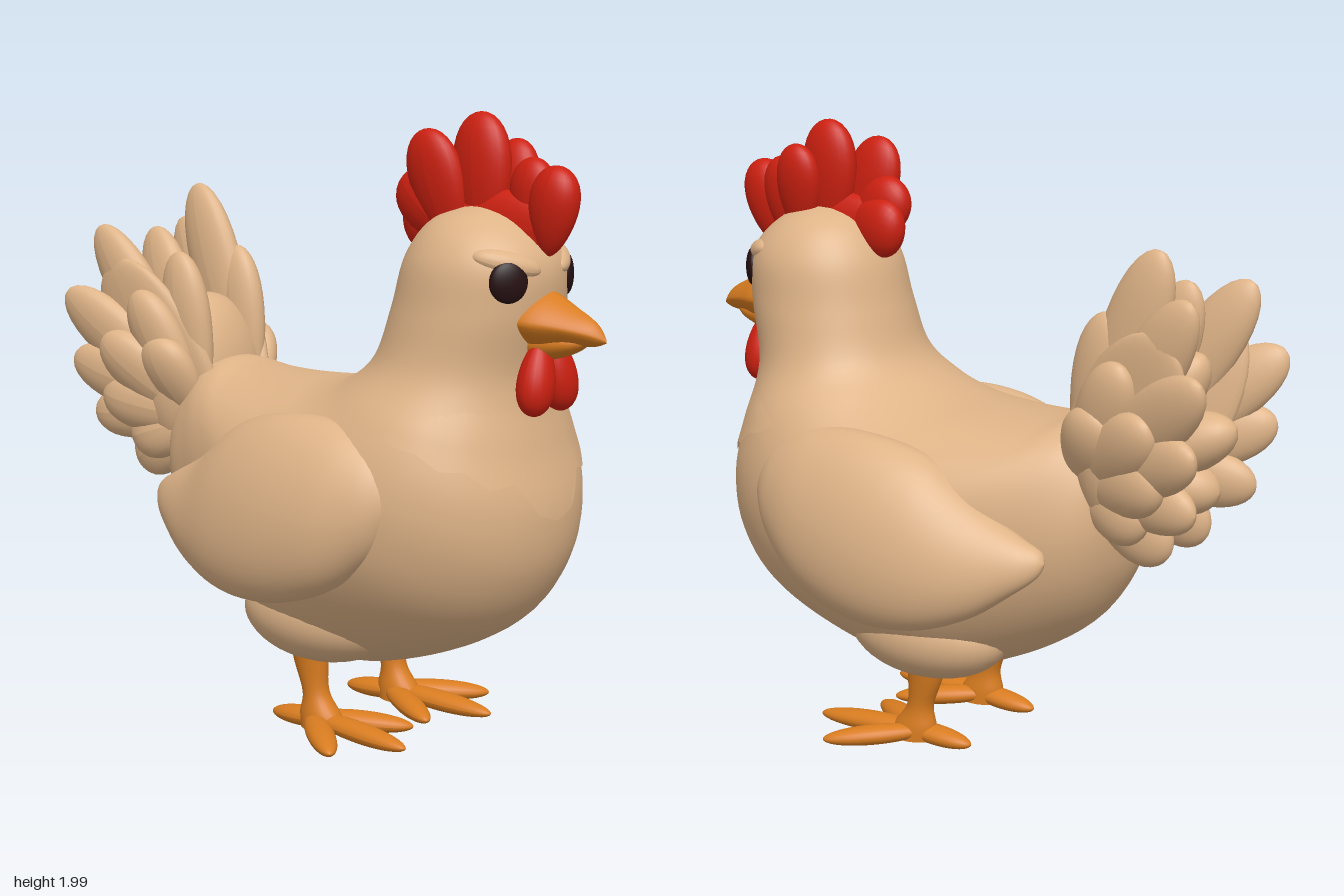
import * as THREE from 'three';

const mat = (name, color) => Object.assign(new THREE.MeshStandardMaterial({ color }), { name });

// Smooth surface from a grid of points; wound so that it faces away from its middle
function grid(rows, cols, closed, fn) {
  const pos = [], idx = [], mid = new THREE.Vector3();
  const n = closed ? cols : cols + 1;
  for (let i = 0; i <= rows; i++) for (let j = 0; j < n; j++) {
    const p = fn(i / rows, j / cols);
    pos.push(p.x, p.y, p.z);
    mid.add(p);
  }
  mid.divideScalar((rows + 1) * n);
  for (let i = 0; i < rows; i++) for (let j = 0; j < cols; j++) {
    const a = i * n + j, b = i * n + (j + 1) % n;
    idx.push(a, b, a + n, b, b + n, a + n);
  }
  const at = k => new THREE.Vector3().fromArray(pos, k * 3).sub(mid);
  let volume = 0;
  for (let k = 0; k < idx.length; k += 3) volume += at(idx[k]).dot(at(idx[k + 1]).cross(at(idx[k + 2])));
  if (volume < 0) idx.reverse();
  const g = new THREE.BufferGeometry();
  g.setAttribute('position', new THREE.Float32BufferAttribute(pos, 3));
  g.setIndex(idx);
  g.computeVertexNormals();
  return g;
}

// Sections [cx, cy, cz, halfWidthX, vx, vy, vz], splined along the list; power 1 is an ellipse, 2 a diamond
function sectionPoint(secs, s, a, scale = 1, power = 1) {
  const last = secs.length - 1, i = Math.min(Math.floor(s), last - 1), t = s - i;
  const get = k => secs[Math.max(0, Math.min(last, k))];
  const [p0, p1, p2, p3] = [get(i - 1), get(i), get(i + 1), get(i + 2)];
  const q = p1.map((_, k) => 0.5 * (2 * p1[k] + (p2[k] - p0[k]) * t
    + (2 * p0[k] - 5 * p1[k] + 4 * p2[k] - p3[k]) * t * t
    + (3 * p1[k] - p0[k] - 3 * p2[k] + p3[k]) * t * t * t));
  const shape = x => Math.sign(x) * Math.abs(x) ** power * scale;
  const c = shape(Math.cos(a)), n = shape(Math.sin(a));
  return new THREE.Vector3(q[0] + q[3] * c + q[4] * n, q[1] + q[5] * n, q[2] + q[6] * n);
}
const loft = (secs, cols = 48, power = 1) => grid((secs.length - 1) * 6, cols, true,
  (u, v) => sectionPoint(secs, u * (secs.length - 1), v * Math.PI * 2, 1, power));

// Flattened egg between two points, thin across x; a positive taper is fuller near the tip
function blade(from, to, width, thick, taper = 0.25) {
  const a = new THREE.Vector3(...from), b = new THREE.Vector3(...to);
  const dir = b.clone().sub(a), len = dir.length();
  dir.normalize();
  const x = new THREE.Vector3(1, 0, 0).addScaledVector(dir, -dir.x).normalize();
  const z = x.clone().cross(dir);
  const g = new THREE.SphereGeometry(1, 24, 18), p = g.attributes.position;
  for (let i = 0; i < p.count; i++) {
    const y = p.getY(i), k = 1 + taper * y;
    p.setXYZ(i, p.getX(i) * thick * k, y * len / 2, p.getZ(i) * width * k);
  }
  g.computeVertexNormals();
  const m = new THREE.Matrix4().makeBasis(x, dir, z).setPosition(a.add(b).multiplyScalar(0.5));
  return g.applyMatrix4(m);
}

const ellipsoid = (x, y, z, rx, ry, rz) =>
  new THREE.SphereGeometry(1, 32, 24).scale(rx, ry, rz).translate(x, y, z);

export function createModel() {
  const model = new THREE.Group();
  model.name = 'hen';
  const plumage = mat('beige plumage', 0xdeb387);
  plumage.side = THREE.DoubleSide;
  const red = mat('comb red', 0xcc2010);
  const orange = mat('beak orange', 0xd87c20);
  const dark = mat('eye dark brown', 0x261012);
  const add = (name, geo, material, parent = model) => {
    const m = new THREE.Mesh(geo, material);
    m.name = name;
    parent.add(m);
    return m;
  };
  const group = name => {
    const g = new THREE.Group();
    g.name = name;
    model.add(g);
    return g;
  };

  // Head, neck and body: ribs [back z, back y, front z, front y, half width]
  const ribs = [
    [0.54, 1.72, 0.56, 1.72, 0.002], [0.40, 1.67, 0.70, 1.67, 0.155], [0.315, 1.56, 0.80, 1.56, 0.242],
    [0.27, 1.40, 0.80, 1.40, 0.27], [0.22, 1.25, 0.76, 1.20, 0.305], [0.13, 1.17, 0.79, 1.0, 0.395],
    [0, 1.13, 0.83, 0.80, 0.45], [-0.14, 1.12, 0.80, 0.60, 0.48], [-0.27, 1.12, 0.67, 0.42, 0.485],
    [-0.38, 1.13, 0.40, 0.28, 0.455], [-0.46, 1.15, 0.08, 0.21, 0.395], [-0.53, 1.14, -0.22, 0.30, 0.325],
    [-0.60, 1.07, -0.47, 0.45, 0.25], [-0.63, 0.95, -0.59, 0.62, 0.15], [-0.63, 0.80, -0.63, 0.78, 0.002],
  ].map(([bz, by, fz, fy, w]) => [0, (by + fy) / 2, (bz + fz) / 2, w, 0, (by - fy) / 2, (bz - fz) / 2]);
  add('body', loft(ribs, 64), plumage);

  // Ragged feather bib over the chest
  add('bib', grid(14, 96, false, (u, v) => {
    const k = v * 2 - 1, side = Math.abs(k);
    const zig = Math.abs(((side * 4.5 + 0.5) % 1) - 0.5) * 2;
    const end = 5.1 + 0.5 * (1 - side) + 0.5 * Math.max(0, 1 - side * 5) + 0.2 * zig * (1 - side * side);
    const lift = 1 + 0.022 * u * (1 - side ** 4) - 0.012 * (1 - u) - 0.02 * side ** 4;
    return sectionPoint(ribs, 3.9 + (end - 3.9) * u, -Math.PI / 2 + k * 1.75, lift);
  }), plumage);

  // Beak
  const beak = group('beak');
  add('upperBeak', loft([
    [0, 1.385, 0.70, 0.125, 0, 0.1, 0], [0, 1.38, 0.79, 0.122, 0, 0.095, 0], [0, 1.37, 0.88, 0.08, 0, 0.062, 0],
    [0, 1.353, 0.96, 0.036, 0, 0.036, 0], [0, 1.335, 1.0, 0.002, 0, 0.004, 0]], 32, 1.35), orange, beak);
  add('lowerBeak', loft([
    [0, 1.32, 0.70, 0.085, 0, 0.055, 0], [0, 1.315, 0.80, 0.07, 0, 0.052, 0], [0, 1.32, 0.89, 0.045, 0, 0.03, 0],
    [0, 1.332, 0.95, 0.002, 0, 0.003, 0]], 32), orange, beak);

  // Comb: a ridge with a wavy row of lobes
  const comb = group('comb');
  add('combRidge', blade([0, 1.65, 0.84], [0, 1.64, 0.27], 0.12, 0.055, 0), red, comb);
  [
    [0, 1.57, 0.78, 0, 1.84, 0.825, 0.08, 0.058], [0.02, 1.6, 0.71, 0.025, 1.86, 0.715, 0.075, 0.05],
    [0.04, 1.6, 0.63, 0.08, 1.91, 0.615, 0.08, 0.05], [0, 1.58, 0.55, 0.01, 1.99, 0.53, 0.1, 0.058],
    [-0.03, 1.58, 0.46, -0.065, 1.935, 0.37, 0.095, 0.05], [-0.02, 1.6, 0.46, -0.03, 1.79, 0.27, 0.09, 0.055],
    [0, 1.67, 0.46, 0.02, 1.64, 0.24, 0.095, 0.055],
  ].forEach(([ax, ay, az, bx, by, bz, w, t]) =>
    add('combLobe', blade([ax, ay, az], [bx, by, bz], w, t), red, comb));

  // Tail root and central feathers
  const tail = group('tail');
  add('tailRoot', ellipsoid(0, 1.05, -0.62, 0.24, 0.3, 0.17), plumage, tail);
  [[1.36, -0.84], [1.15, -0.95], [0.94, -0.9]].forEach(([y, z]) =>
    add('centreFeather', blade([0, 0.98, -0.5], [-0.03, y, z], 0.1, 0.1, 0.1), plumage, tail));

  for (const s of [1, -1]) {
    const side = s > 0 ? 'left' : 'right';

    // Tail fan: broad web, long feathers, then short coverts [tip x, y, z, half width]
    add(side + 'TailWeb', blade([s * 0.09, 0.82, -0.5], [s * 0.22, 1.46, -0.83], 0.19, 0.05, 0), plumage, tail);
    [
      s > 0 ? [0.13, 1.70, -0.77, 0.105] : [0.10, 1.57, -0.75, 0.1], // the right fan is a little lower
      [0.20, 1.57, -0.91, 0.1], [0.28, 1.35, -0.99, 0.1], [0.27, 1.13, -0.97, 0.095],
      [0.20, 0.93, -0.94, 0.09], [0.12, 0.76, -0.81, 0.1], [0.14, 1.50, -0.60, 0.09],
    ].forEach(([x, y, z, w]) =>
      add(side + 'TailFeather', blade([s * 0.12, 0.97, -0.52], [s * x, y, z], w, 0.055), plumage, tail));
    [[0.24, 1.37, -0.70], [0.28, 1.21, -0.82], [0.25, 1.02, -0.85], [0.19, 0.86, -0.77], [0.25, 1.22, -0.62]].forEach(
      ([x, y, z]) =>
        add(side + 'TailCovert', blade([s * 0.14, 0.95, -0.52], [s * x, y, z], 0.095, 0.06), plumage, tail));

    // Wing, leaning in at the top: sections [z, centre y, half height, outer x, half thickness, lean]
    add(side + 'Wing', loft([
      [0.535, 0.86, 0.004, 0.41, 0.002, 0], [0.51, 0.855, 0.10, 0.45, 0.07, 0.015],
      [0.44, 0.84, 0.18, 0.505, 0.11, 0.025], [0.3, 0.81, 0.26, 0.56, 0.15, 0.035],
      [0.1, 0.78, 0.292, 0.578, 0.16, 0.04], [-0.1, 0.755, 0.265, 0.553, 0.15, 0.045],
      [-0.28, 0.72, 0.17, 0.49, 0.11, 0.035], [-0.42, 0.73, 0.085, 0.42, 0.06, 0.02],
      [-0.485, 0.74, 0.04, 0.37, 0.03, 0.01], [-0.505, 0.745, 0.002, 0.34, 0.002, 0],
    ].map(([z, y, h, x, t, lean]) => [s * (x - t), y, z, t, -s * lean, h, 0])), plumage);

    // Eye, and a brow laid along the skull
    const onHead = (at, across, scale) => sectionPoint(ribs, at, -Math.acos(s * across), scale);
    const eye = add(side + 'Eye', new THREE.SphereGeometry(1, 32, 24), dark);
    eye.scale.set(0.06, 0.064, 0.024);
    eye.position.copy(onHead(2.38, 0.6, 0.97));
    eye.rotation.y = s * 0.62;
    add(side + 'Brow', blade(onHead(2.2, 0.2, 0.98).toArray(), onHead(1.85, 0.9, 0.97).toArray(), 0.04, 0.045, 0), plumage);

    // Wattle
    add(side + 'Wattle', blade([s * 0.03, 1.33, 0.79], [s * 0.08, 1.1, 0.795], 0.055, 0.062), red);

    // Thigh, shank and toes
    add(side + 'Thigh', ellipsoid(s * 0.165, 0.385, 0.04, 0.175, 0.155, 0.29), plumage);
    add(side + 'Shank', loft([
      [s * 0.2, 0.34, 0.02, 0.065, 0, 0, 0.075], [s * 0.2, 0.23, 0.03, 0.05, 0, 0, 0.06],
      [s * 0.2, 0.13, 0.05, 0.042, 0, 0, 0.045], [s * 0.2, 0.06, 0.07, 0.055, 0, 0, 0.075],
      [s * 0.2, 0.015, 0.08, 0.06, 0, 0, 0.08]], 24), orange);
    [[0.415, 0.29], [0.225, 0.435], [0.035, 0.32], [0.19, -0.14]].forEach(([x, z]) =>
      add(side + 'Toe', blade([s * 0.2, 0.045, z > 0 ? 0.03 : 0.13], [s * x, 0.025, z], 0.032, 0.045, 0), orange));
  }
  return model;
}
